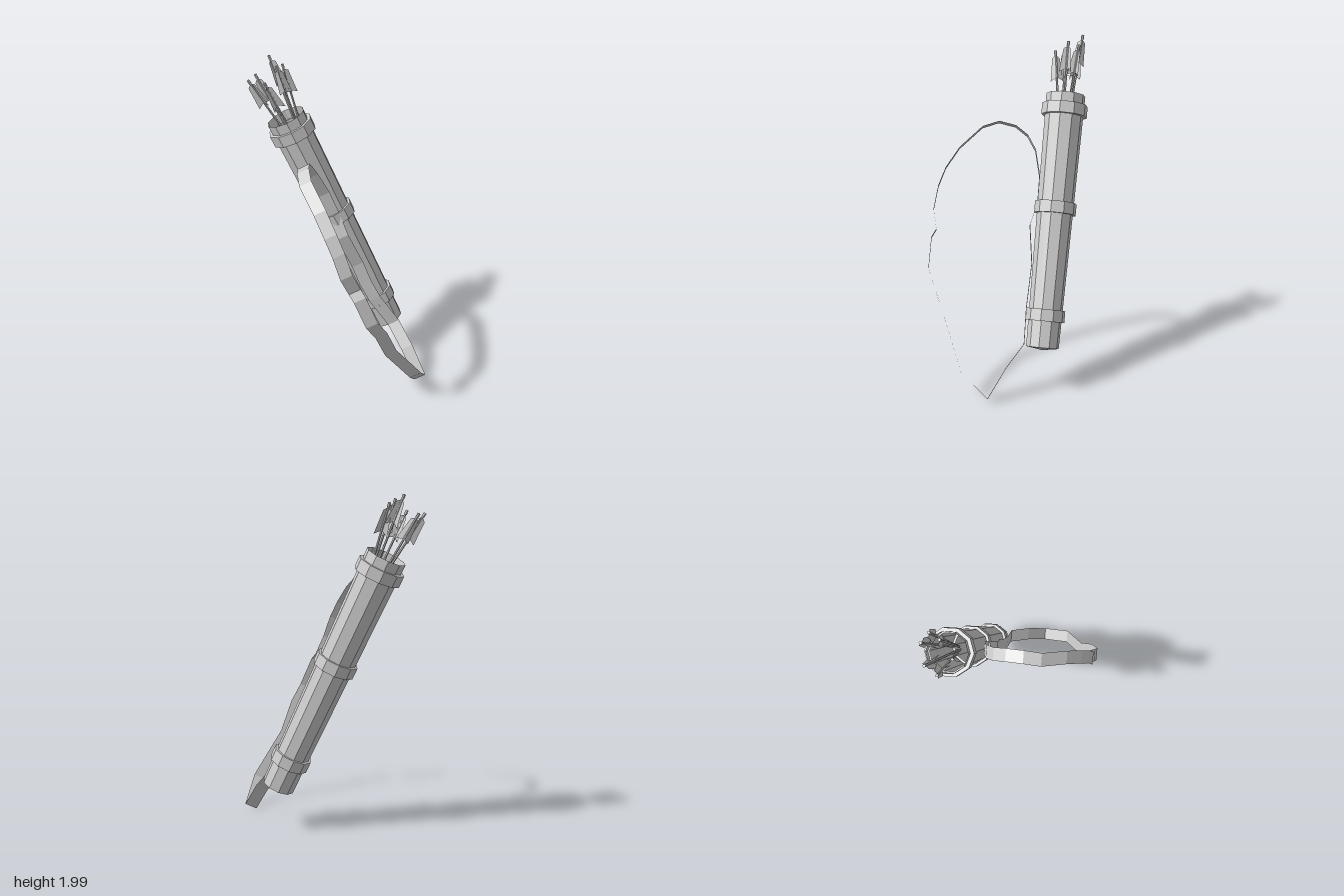
import * as THREE from 'three';

const SIDES = 10;
const UP = new THREE.Vector3(0, 1, 0);
const BASE = new THREE.Vector3(0.318, 0.265, -0.17); // centre of the quiver's bottom
const AXIS = new THREE.Vector3(-0.44, 1, -0.127).normalize();
const axisAt = (y) => BASE.clone().addScaledVector(AXIS, (y - BASE.y) / AXIS.y);

export function createModel() {
  const grey = new THREE.MeshStandardMaterial({ color: 0xcccccc, flatShading: true });
  grey.name = 'plain grey';
  const greyThin = grey.clone();
  greyThin.name = 'plain grey thin';
  greyThin.side = THREE.DoubleSide;

  const model = new THREE.Group();
  model.name = 'quiver';
  const add = (parent, name, geometry, material = grey) => {
    const mesh = new THREE.Mesh(geometry, material);
    mesh.name = name;
    parent.add(mesh);
    return mesh;
  };

  // Leaning tube: y runs along the tube
  const tube = new THREE.Group();
  tube.name = 'tube';
  tube.position.copy(BASE);
  tube.quaternion.setFromUnitVectors(UP, AXIS);
  model.add(tube);
  const bodyProfile = [[0, -0.015], [0.097, 0], [0.118, 1.52]].map(([r, y]) => new THREE.Vector2(r, y));
  add(tube, 'body', new THREE.LatheGeometry(bodyProfile, SIDES), greyThin);

  // Three raised bands
  for (const [name, y, r] of [['bottomBand', 0.19, 0.116], ['middleBand', 0.83, 0.125], ['topBand', 1.425, 0.138]]) {
    add(tube, name, bandGeometry(r, 0.07)).position.y = y;
  }

  // Arrows fanning out of the mouth
  const vane = new THREE.Shape([[0.004, -0.03], [0.026, -0.045], [0.044, -0.185], [0.004, -0.165]]
    .map(([x, y]) => new THREE.Vector2(x, y)));
  const vaneGeometry = new THREE.ShapeGeometry(vane);
  const shaftGeometry = new THREE.CylinderGeometry(0.007, 0.007, 0.62, 6).translate(0, -0.31, 0);
  const nockGeometry = new THREE.CylinderGeometry(0.009, 0.009, 0.025, 6).translate(0, -0.0125, 0);
  const tips = [
    [-0.37, 1.995, -0.45], [-0.335, 1.965, -0.36], [-0.5, 1.885, -0.36], [-0.455, 1.89, -0.43],
    [-0.41, 1.895, -0.29], [-0.295, 1.95, -0.42],
  ];
  tips.forEach((t, i) => {
    const tip = new THREE.Vector3(...t);
    // offsets from the tube axis halve at the mouth
    const mouth = axisAt(1.6).addScaledVector(tip.clone().sub(axisAt(tip.y)), 0.5);
    const arrow = new THREE.Group();
    arrow.name = 'arrow';
    arrow.position.copy(tip);
    arrow.quaternion.setFromUnitVectors(UP, tip.clone().sub(mouth).normalize());
    add(arrow, 'shaft', shaftGeometry);
    add(arrow, 'nock', nockGeometry);
    for (let k = 0; k < 3; k++) {
      add(arrow, 'vane', vaneGeometry, greyThin).rotation.y = i * 0.5 + (k * Math.PI * 2) / 3;
    }
    model.add(arrow);
  });

  // Shoulder strap: a flat ribbon looping round in front of the tube
  add(model, 'strap', ribbonGeometry([
    [0.48, 0.02, 0.16], [0.42, 0.16, 0.31], [0.245, 0.42, 0.4], [0.175, 0.6, 0.46], [0.115, 0.7, 0.495],
    [0.045, 0.87, 0.475], [0.02, 0.91, 0.445], [-0.03, 1.02, 0.46], [-0.07, 1.15, 0.43], [-0.11, 1.25, 0.385],
    [-0.16, 1.36, 0.3], [-0.225, 1.47, 0.16], [-0.228, 1.5, 0.06], [-0.215, 1.475, -0.04], [-0.195, 1.42, -0.11],
    [-0.155, 1.34, -0.155], [-0.085, 1.2, -0.175], [-0.025, 1.05, -0.16], [0.02, 0.93, -0.112], [0.115, 0.72, -0.118],
    [0.16, 0.6, -0.1], [0.22, 0.48, -0.08], [0.34, 0.3, -0.06], [0.41, 0.18, 0.05],
  ], new THREE.Vector3(0.034, 0.016, 0)), greyThin);

  return model;
}

// Ring with square edges
function bandGeometry(radius, height) {
  const inner = radius - 0.03, h = height / 2;
  const profile = [[inner, -h], [radius, -h], [radius, h], [inner, h]];
  return new THREE.LatheGeometry(profile.map(([r, y]) => new THREE.Vector2(r, y)), SIDES);
}

// Closed ribbon through the points, widened both ways by the half-width vector
function ribbonGeometry(points, half) {
  const positions = [], index = [];
  points.forEach((p, i) => {
    const c = new THREE.Vector3(...p);
    positions.push(...c.clone().sub(half).toArray(), ...c.clone().add(half).toArray());
    const a = i * 2, b = ((i + 1) % points.length) * 2;
    index.push(a, a + 1, b, a + 1, b + 1, b);
  });
  const geometry = new THREE.BufferGeometry();
  geometry.setAttribute('position', new THREE.Float32BufferAttribute(positions, 3));
  geometry.setIndex(index);
  geometry.computeVertexNormals();
  return geometry;
}
